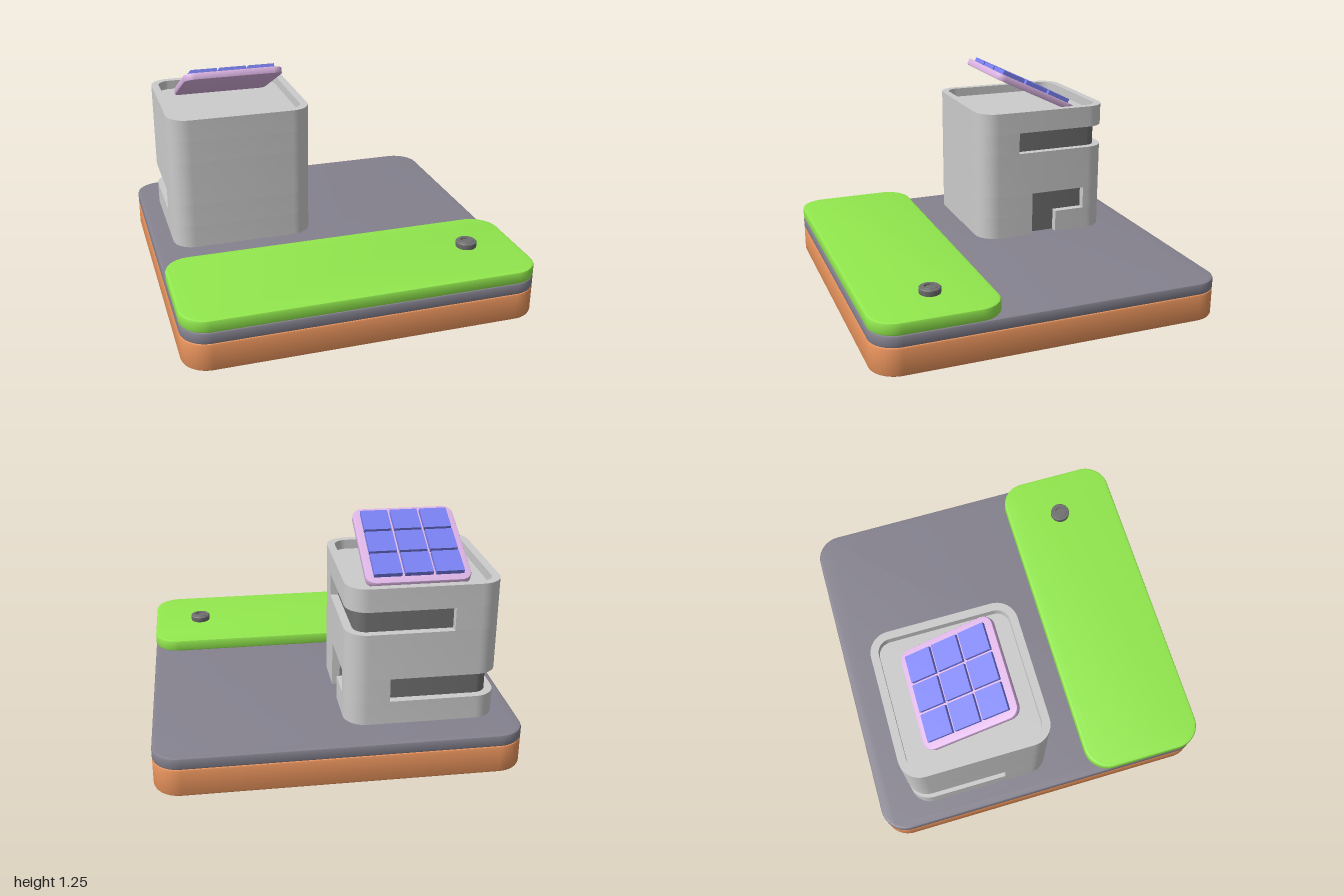
import * as THREE from 'three';
import { toCreasedNormals } from 'three/addons/utils/BufferGeometryUtils.js';

const material = (color) => new THREE.MeshStandardMaterial({ color });
const grey = material(0xcccccc);
const darkGrey = material(0x707070);
const brown = material(0xe8935c);
const slate = material(0x85828f);
const green = material(0x92e84e);
const lilac = material(0xdcb4e4);
const blue = material(0x7a80f0);

function add(parent, name, geometry, mat, x = 0, y = 0, z = 0) {
  const mesh = new THREE.Mesh(geometry, mat);
  mesh.name = name;
  mesh.position.set(x, y, z);
  parent.add(mesh);
  return mesh;
}

// Extrudes a plan shape (x, -z) upwards from y = 0 to the given height
function extrudeUp(shape, height, bevel = 0) {
  const geometry = new THREE.ExtrudeGeometry(shape, {
    depth: height - 2 * bevel, bevelEnabled: bevel > 0, bevelThickness: bevel,
    bevelSize: bevel, bevelOffset: -bevel, bevelSegments: 2, curveSegments: 12,
  });
  geometry.translate(0, 0, bevel).rotateX(-Math.PI / 2);
  return toCreasedNormals(geometry, 0.6);
}

// Flat plate with rounded corners
function slab(width, depth, height, radius, bevel) {
  const a = width / 2 - radius, b = depth / 2 - radius;
  const shape = new THREE.Shape();
  [[a, b], [-a, b], [-a, -b], [a, -b]].forEach(([x, y], i) =>
    shape.absarc(x, y, radius, i * Math.PI / 2, (i + 1) * Math.PI / 2, false));
  return extrudeUp(shape, height, bevel);
}

const HALF = 0.42, RADIUS = 0.12, WALL = 0.045;

// Line along the tower's rounded outline; sides count from +x through -z, -x and +z
function outline([side0, along0], [side1, along1], inset) {
  const half = HALF - inset, core = HALF - RADIUS, r = RADIUS - inset;
  const turn = (x, y, side) =>
    new THREE.Vector2(x, y).rotateAround(new THREE.Vector2(), side * Math.PI / 2);
  const points = [turn(half, along0, side0)];
  for (let side = side0; side < side1; side++) {
    for (let i = 0; i <= 10; i++) {
      const t = i / 10 * Math.PI / 2;
      points.push(turn(core + r * Math.cos(t), core + r * Math.sin(t), side));
    }
  }
  points.push(turn(half, along1, side1));
  return points;
}

function wallBand(from, to, height) {
  const outer = outline(from, to, 0);
  const inner = outline(from, to, WALL).reverse();
  return extrudeUp(new THREE.Shape([...outer, ...inner]), height);
}

export function createModel() {
  const model = new THREE.Group();
  model.name = 'towerOnPlatform';

  // Layered ground
  add(model, 'soilBase', slab(2, 2, 0.16, 0.15, 0.012), brown);
  add(model, 'pavement', slab(2, 2, 0.068, 0.15, 0.012), slate, 0, 0.158);
  add(model, 'lawn', slab(2, 0.715, 0.072, 0.15, 0.012), green, 0, 0.224, 0.6425);

  // Round ground fitting on the lawn
  const profile = [[0.058, 0], [0.06, 0.008], [0.06, 0.032], [0.055, 0.037], [0.042, 0.037],
    [0.04, 0.04], [0.032, 0.04], [0.03, 0.03], [0, 0.03]].map(([x, y]) => new THREE.Vector2(x, y));
  add(model, 'groundFitting', toCreasedNormals(new THREE.LatheGeometry(profile, 32), 0.6),
    darkGrey, 0.71, 0.294, 0.62);

  // Tower: dark core behind a shell that leaves the door and windows open
  const tower = new THREE.Group();
  tower.name = 'tower';
  tower.position.set(-0.4625, 0, -0.37);
  model.add(tower);
  const inner = 2 * (HALF - WALL);
  add(tower, 'darkCore', slab(inner, inner, 0.72, RADIUS - WALL, 0), darkGrey, 0, 0.22);
  add(tower, 'roof', slab(inner, inner, 0.03, RADIUS - WALL, 0), grey, 0, 0.935);
  const bands = [
    [0.22, 0.36, [0, 0.08], [4, -0.08]],
    [0.36, 0.495, [0, 0.27], [1, -0.18]],
    [0.36, 0.495, [2, 0.14], [4, -0.08]],
    [0.495, 0.76, [0, 0], [4, 0]],
    [0.76, 0.89, [1, 0.16], [4, -0.17]],
    [0.89, 1.02, [0, 0], [4, 0]],
  ];
  for (const [bottom, top, from, to] of bands) {
    add(tower, 'wallBand', wallBand(from, to, top - bottom), grey, 0, bottom);
  }

  // Tilted solar panel with a grid of cells
  const panel = new THREE.Group();
  panel.name = 'solarPanel';
  panel.position.set(-0.4625, 1.1, -0.37);
  panel.rotation.x = -0.45;
  model.add(panel);
  add(panel, 'panelFrame', slab(0.58, 0.58, 0.04, 0.06, 0.006), lilac, 0, -0.02);
  for (let i = -1; i <= 1; i++) {
    for (let j = -1; j <= 1; j++) {
      add(panel, 'solarCell', new THREE.BoxGeometry(0.154, 0.025, 0.154), blue,
        i * 0.17, 0.0325, j * 0.17);
    }
  }
  return model;
}
